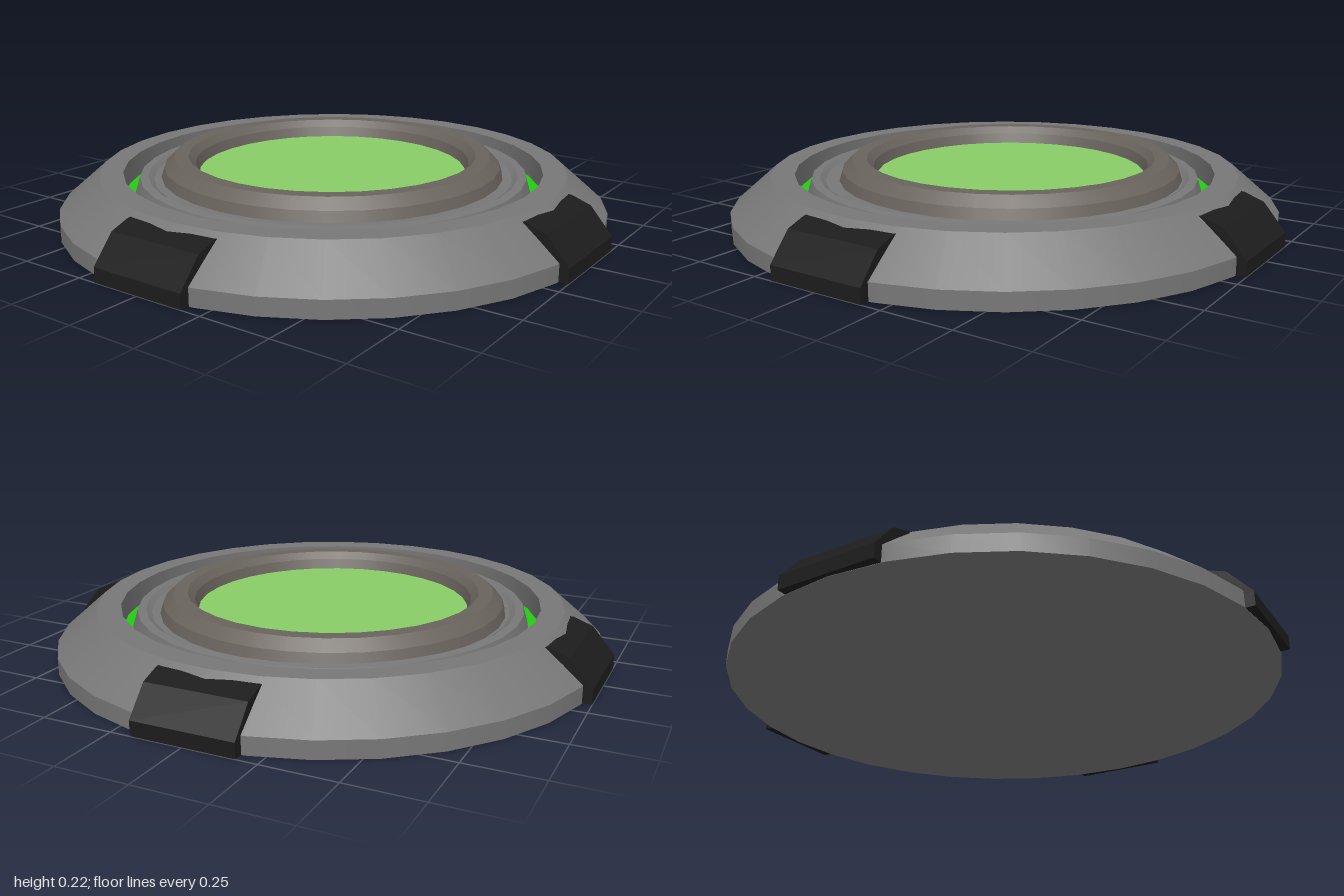
import * as THREE from 'three';
import { mergeGeometries } from 'three/addons/utils/BufferGeometryUtils.js';

const SEGMENTS = 32;

const paint = (color) => new THREE.MeshStandardMaterial({ color });

// Turned part: smooth around the axis, with a crisp edge at every profile point
function turned(name, profile, material) {
  const bands = [];
  for (let i = 0; i < profile.length - 1; i++) {
    const pair = [profile[i], profile[i + 1]].map(([r, y]) => new THREE.Vector2(r, y));
    bands.push(new THREE.LatheGeometry(pair, SEGMENTS));
  }
  const mesh = new THREE.Mesh(mergeGeometries(bands), material);
  mesh.name = name;
  return mesh;
}

export function createModel() {
  const model = new THREE.Group();
  model.name = 'roundPad';

  const grey = paint(0x777777);
  const black = paint(0x1c1c1c);
  const brown = paint(0x69635d);
  const brightGreen = paint(0x22cc11);
  const paleGreen = paint(0x88cc66);

  // Base with bevelled outer skirt and raised rim
  model.add(turned('base', [
    [0, 0], [0.985, 0], [0.985, 0.06], [0.84, 0.185], [0.757, 0.185], [0.757, 0.1],
  ], grey));

  // Glowing channel inside the rim
  model.add(turned('lightChannel', [[0.757, 0.1], [0.72, 0.1]], brightGreen));

  // Stepped deck between the channel and the raised ring
  model.add(turned('steppedDeck', [
    [0.72, 0.1], [0.7, 0.165], [0.67, 0.168], [0.65, 0.155], [0.5, 0.15],
  ], grey));

  // Raised ring and its disc sit slightly off centre
  const centre = new THREE.Group();
  centre.name = 'centrePiece';
  centre.position.set(-0.016, 0, -0.016);
  centre.add(turned('raisedRing', [
    [0.625, 0.15], [0.613, 0.19], [0.576, 0.225], [0.525, 0.225], [0.5, 0.2], [0.485, 0.15],
  ], brown));
  centre.add(turned('glowDisc', [[0.488, 0.163], [0, 0.163]], paleGreen));
  model.add(centre);

  // Four clamps gripping the skirt
  const clampShape = new THREE.Shape([
    [0.8, 0], [1, 0], [1, 0.05], [0.92, 0.143], [0.85, 0.168], [0.8, 0.168],
  ].map(([r, y]) => new THREE.Vector2(r, y)));
  const clampGeometry = new THREE.ExtrudeGeometry(clampShape, { depth: 0.358, bevelEnabled: false });
  clampGeometry.translate(0, 0, -0.179);
  ['left', 'back', 'right', 'front'].forEach((side, i) => {
    const clamp = new THREE.Mesh(clampGeometry, black);
    clamp.name = side + 'Clamp';
    clamp.rotation.y = (i * Math.PI) / 2;
    // Lifted a hair so its underside stays hidden by the base
    clamp.position.y = 0.001;
    model.add(clamp);
  });

  return model;
}
